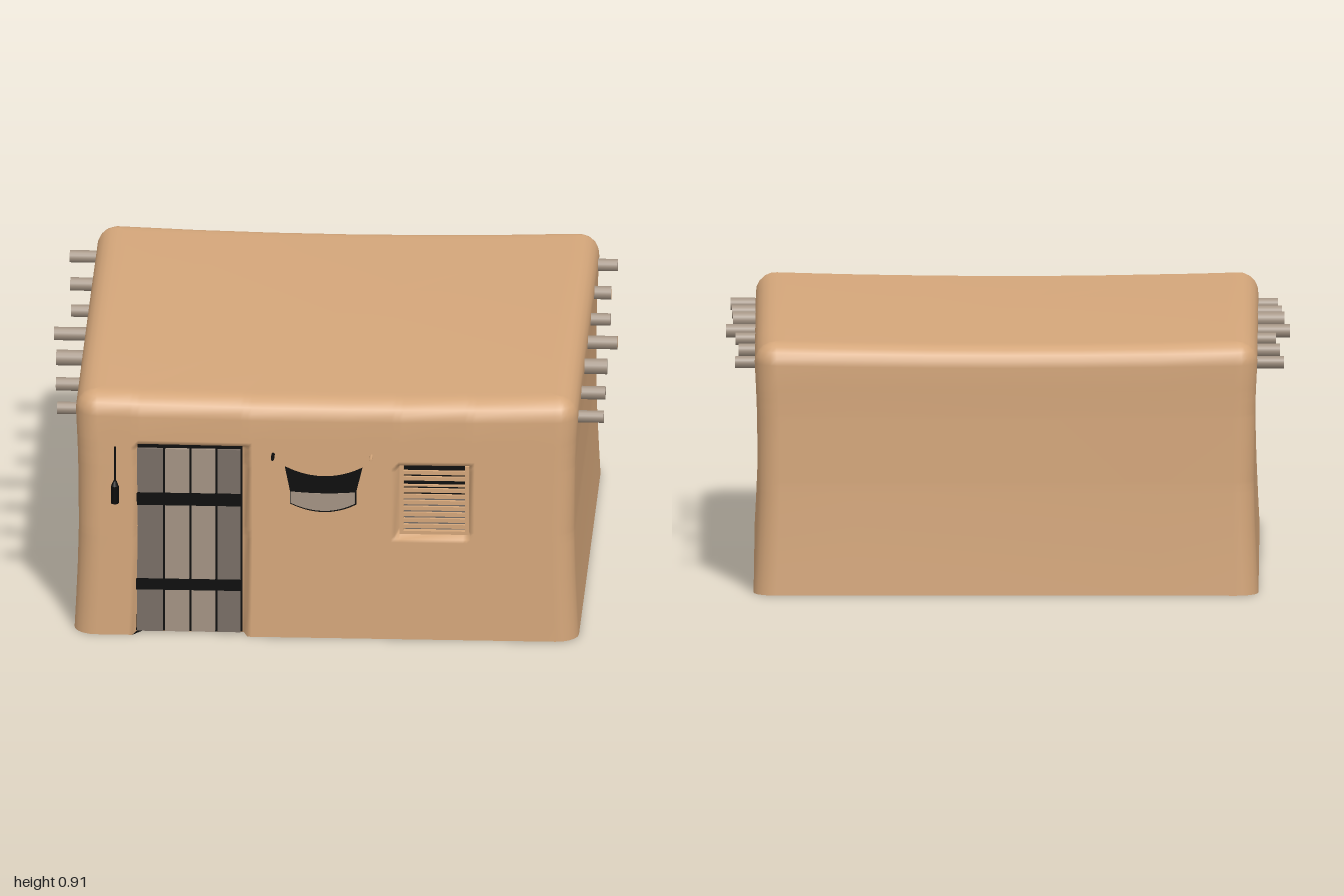
import * as THREE from 'three';

const mat = (name, color) => {
  const m = new THREE.MeshStandardMaterial({ color });
  m.name = name;
  return m;
};

// Soft-edged recesses in the front wall: door and window
const RECESSES = [
  { x0: -0.68, x1: -0.285, y0: -1, y1: 0.72 },
  { x0: 0.255, x1: 0.515, y0: 0.385, y1: 0.655 },
];
const DEPTH = 0.045, CORE = 0.815, R = 0.08, H = 0.91;
const around = (edges) => edges.flatMap((e) => [e - 0.02, e - 0.007, e + 0.007, e + 0.02]);

// Slightly sagging roof, pinched walls, concave back
function weather(p) {
  const top = (p.y / H) ** 4, pinch = Math.sin(Math.PI * Math.min(1, p.y / H));
  p.y -= top * (0.016 * (1 - (p.x / 0.9) ** 2) + 0.008 * (p.z / 0.9) ** 2);
  p.x = p.x * (1 - 0.017 * pinch) + 0.005;
  if (p.z < 0) p.z += (-p.z / 0.9) * (0.012 * pinch + 0.012 * (1 - (p.x / 0.9) ** 2));
  else p.z -= 0.01 * p.y * (p.z / 0.9);
  p.z -= 0.02;
  return p;
}

// Plan outline as core points with outward normals, counter-clockwise from front left
function outline() {
  const pts = [];
  const frontX = [-CORE, ...around([-0.68, -0.285]), -0.1, 0.08, ...around([0.255, 0.515]), 0.68, CORE];
  for (const x of frontX) pts.push({ x, z: CORE, nx: 0, nz: 1 });
  for (let side = 0; side < 4; side++) {
    const a0 = Math.PI / 2 - side * Math.PI / 2;
    const cx = side < 2 ? CORE : -CORE, cz = side === 0 || side === 3 ? CORE : -CORE;
    const steps = 5;
    for (let i = 1; i <= steps; i++) {
      if (side === 3 && i === steps) break;
      const a = a0 - (i / steps) * Math.PI / 2;
      pts.push({ x: cx, z: cz, nx: Math.cos(a), nz: Math.sin(a) });
    }
    if (side === 3) break;
    // straight run to the next corner
    const a = a0 - Math.PI / 2, nx = Math.round(Math.cos(a)), nz = Math.round(Math.sin(a));
    for (let i = 1; i <= 6; i++) {
      const d = (i / 6) * 2 * CORE;
      pts.push({ x: cx + nz * d, z: cz - nx * d, nx, nz });
    }
  }
  return pts;
}

function buildBody() {
  const plan = outline(), n = plan.length, rows = [];
  for (const y of [0, 0.1, 0.24, ...around([0.385, 0.655]), 0.7, 0.713, 0.727, 0.74, H - R])
    rows.push({ y, r: R, s: 1, wall: true });
  rows.sort((a, b) => a.y - b.y);
  for (let i = 1; i <= 5; i++) {
    const a = (i / 5) * Math.PI / 2;
    rows.push({ y: H - R + R * Math.sin(a), r: R * Math.cos(a), s: 1 });
  }
  for (const s of [0.96, 0.75, 0.5, 0.25, 0]) rows.push({ y: H, r: 0, s });

  const pos = [], idx = [];
  for (const row of rows) for (const q of plan) {
    const p = new THREE.Vector3(q.x * row.s + q.nx * row.r, row.y, q.z * row.s + q.nz * row.r);
    const sunk = row.wall && q.nz === 1 && RECESSES.some(
      (w) => q.x > w.x0 && q.x < w.x1 && row.y > w.y0 && row.y < w.y1);
    weather(p);
    if (sunk) p.z -= DEPTH;
    pos.push(p.x, p.y, p.z);
  }
  for (let j = 0; j < rows.length - 1; j++) for (let i = 0; i < n; i++) {
    const a = j * n + i, b = j * n + (i + 1) % n;
    idx.push(a, b, b + n, a, b + n, a + n);
  }
  const make = (positions, index) => {
    const g = new THREE.BufferGeometry();
    g.setAttribute('position', new THREE.Float32BufferAttribute(positions, 3));
    g.setIndex(index);
    g.computeVertexNormals();
    return g;
  };
  // underside fan following the lowest ring
  const base = [...pos.slice(0, n * 3), 0, 0, 0], fan = [];
  for (let i = 0; i < n; i++) fan.push(n, (i + 1) % n, i);
  return { shell: make(pos, idx), underside: make(base, fan) };
}

export function createModel() {
  const clay = mat('clay', 0xd4a67a), wood = mat('wood', 0xa39383);
  const darkWood = mat('darkWood', 0x786d65), black = mat('black', 0x0a0a0a);
  const root = new THREE.Group();
  root.name = 'adobeHouse';
  const add = (name, geo, m, x = 0, y = 0, z = 0, parent = root) => {
    const mesh = new THREE.Mesh(geo, m);
    mesh.name = name;
    mesh.position.set(x, y, z);
    parent.add(mesh);
    return mesh;
  };
  // box given by its front-view extents, front face depth and thickness
  const slab = (name, m, x0, x1, y0, y1, zFront, t, parent) =>
    add(name, new THREE.BoxGeometry(x1 - x0, y1 - y0, t), m,
      (x0 + x1) / 2, (y0 + y1) / 2, zFront - t / 2, parent);

  const body = buildBody();
  add('walls', body.shell, clay);
  add('underside', body.underside, black);

  // Roof beams poking out of both side walls: z, y, left end, right end, radius
  const beams = [
    [-0.765, 0.815, -0.98, 0.965, 0.022], [-0.485, 0.815, -0.965, 0.955, 0.024],
    [-0.215, 0.815, -0.95, 0.965, 0.022], [0.005, 0.81, -1, 1, 0.024],
    [0.255, 0.813, -0.98, 0.975, 0.028], [0.495, 0.803, -0.97, 0.98, 0.024],
    [0.72, 0.797, -0.955, 0.985, 0.022],
  ];
  beams.forEach(([z, y, x0, x1, r], i) => {
    const capR = i === 1 || i === 3 ? clay : wood, capL = i === 2 ? black : wood;
    const beam = add('roofBeam', new THREE.CylinderGeometry(r, r, x1 - x0, 14),
      [wood, capR, capL], (x0 + x1) / 2, y, z);
    beam.rotation.z = -Math.PI / 2;
  });

  // Plank door with iron bands
  const door = new THREE.Group();
  door.name = 'door';
  root.add(door);
  slab('doorBacking', black, -0.672, -0.293, 0.004, 0.712, 0.836, 0.02, door);
  const seams = [-0.67, -0.57, -0.477, -0.385, -0.295];
  for (let i = 0; i < 4; i++)
    slab('plank', i === 0 || i === 3 ? darkWood : wood,
      seams[i] + 0.004, seams[i + 1] - 0.004, 0.006, 0.695, 0.848, 0.02, door);
  for (const [y0, y1] of [[0.165, 0.205], [0.485, 0.53]])
    slab('ironBand', black, -0.67, -0.295, y0, y1, 0.855, 0.01, door);

  // Shuttered window
  const win = new THREE.Group();
  win.name = 'window';
  root.add(win);
  slab('windowDark', black, 0.275, 0.505, 0.53, 0.645, 0.831, 0.009, win);
  slab('windowLower', darkWood, 0.275, 0.505, 0.395, 0.53, 0.831, 0.009, win);
  slab('frameSide', clay, 0.265, 0.28, 0.392, 0.648, 0.852, 0.03, win);
  slab('frameSide', clay, 0.498, 0.513, 0.392, 0.648, 0.852, 0.03, win);
  slab('frameSill', clay, 0.265, 0.513, 0.39, 0.402, 0.852, 0.03, win);
  for (let i = 0; i < 10; i++) {
    const y = 0.409 + i * 0.0225;
    slab('slat', clay, 0.278, 0.5, y, y + (i === 7 ? 0.006 : 0.014), 0.842, 0.012, win);
  }

  // Hanging cloth: dark upper part and pale lower part, both sagging
  const plate = (name, m, build, z) => {
    const s = new THREE.Shape();
    build(s);
    add(name, new THREE.ExtrudeGeometry(s, { depth: 0.008, bevelEnabled: false, curveSegments: 10 }), m, 0, 0, z);
  };
  plate('clothTop', black, (s) => {
    s.moveTo(-0.14, 0.645);
    s.quadraticCurveTo(0, 0.575, 0.135, 0.645);
    s.lineTo(0.112, 0.55);
    s.lineTo(-0.122, 0.555);
  }, 0.867);
  plate('clothHem', black, (s) => {
    s.moveTo(-0.122, 0.56);
    s.lineTo(-0.122, 0.507);
    s.quadraticCurveTo(0, 0.446, 0.114, 0.507);
    s.lineTo(0.114, 0.56);
  }, 0.867);
  plate('clothBottom', wood, (s) => {
    s.moveTo(-0.12, 0.553);
    s.lineTo(-0.12, 0.51);
    s.quadraticCurveTo(0, 0.453, 0.108, 0.51);
    s.lineTo(0.108, 0.553);
    s.quadraticCurveTo(0, 0.542, -0.12, 0.553);
  }, 0.869);

  // Wall pegs
  for (const [x, m] of [[-0.182, black], [0.167, clay]]) {
    const peg = add('peg', new THREE.CylinderGeometry(0.006, 0.006, 0.07, 8), m, x, 0.69, 0.885);
    peg.rotation.x = Math.PI / 2;
  }

  // Small tool hanging left of the door
  const tool = new THREE.Group();
  tool.name = 'hangingTool';
  root.add(tool);
  add('toolCord', new THREE.CylinderGeometry(0.004, 0.004, 0.14, 6), black, -0.743, 0.64, 0.873, tool);
  add('toolHead', new THREE.CylinderGeometry(0.006, 0.014, 0.02, 8), black, -0.743, 0.575, 0.883, tool);
  add('toolBody', new THREE.CylinderGeometry(0.014, 0.014, 0.065, 8), black, -0.743, 0.533, 0.883, tool);

  return root;
}
